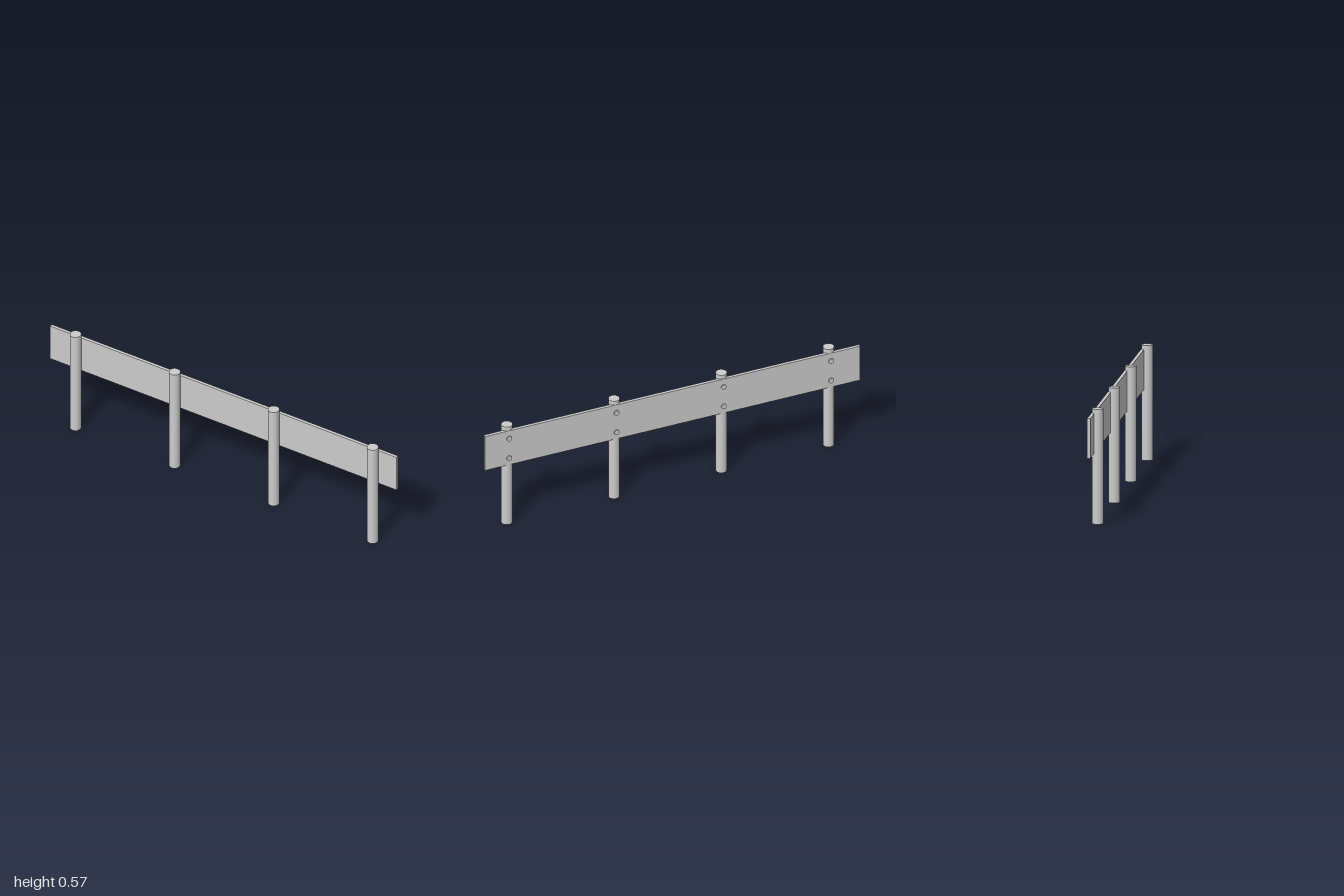
import * as THREE from 'three';

export function createModel() {
  const model = new THREE.Group();
  const material = new THREE.MeshStandardMaterial({ color: 0xcccccc });

  const add = (name, geometry, x, y, z) => {
    const mesh = new THREE.Mesh(geometry, material);
    mesh.name = name;
    mesh.position.set(x, y, z);
    model.add(mesh);
  };

  // Long flat board behind the posts
  add('board', new THREE.BoxGeometry(2, 0.199, 0.016), 0, 0.4505, -0.017);

  // Round posts, each fixed with two bolts through the board
  const postGeometry = new THREE.CylinderGeometry(0.028, 0.028, 0.572, 32);
  const boltGeometry = new THREE.CylinderGeometry(0.014, 0.014, 0.012, 24).rotateX(Math.PI / 2);
  for (let i = 0; i < 4; i++) {
    const x = -0.844 + i * 0.572;
    add('post', postGeometry, x, 0.286, 0.004);
    for (const y of [0.391, 0.505]) add('bolt', boltGeometry, x, y, -0.025);
  }

  return model;
}
